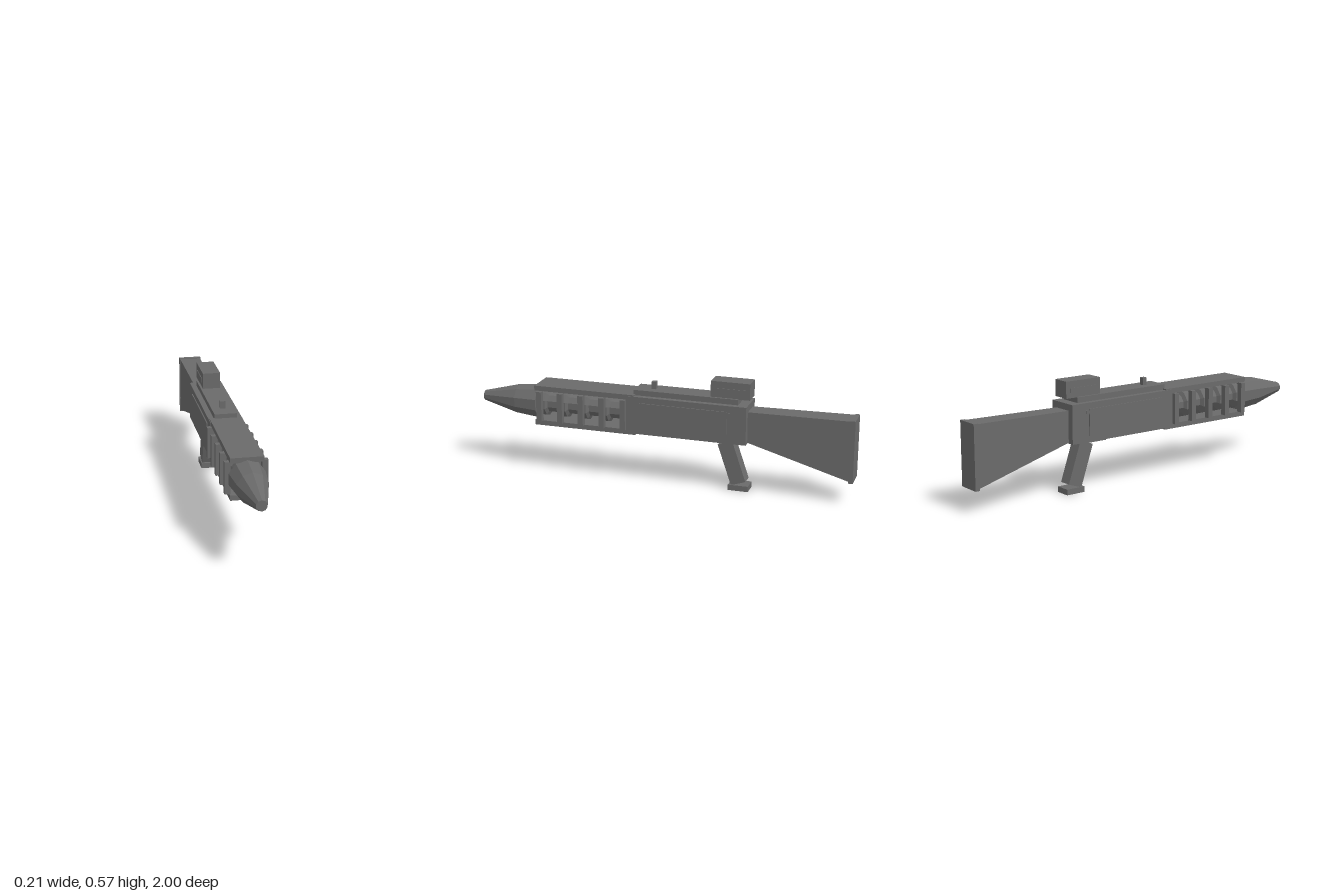
import * as THREE from 'three';

export function createModel() {
  const model = new THREE.Group();
  model.name = 'toyBlaster';
  const grey = new THREE.MeshStandardMaterial({ color: 0x6a6a6a, flatShading: true });
  grey.name = 'gunmetal grey';

  const add = (name, geometry) => {
    const mesh = new THREE.Mesh(geometry, grey);
    mesh.name = name;
    model.add(mesh);
    return mesh;
  };
  // Box given by its extents on each axis
  const box = (name, x0, x1, y0, y1, z0, z1) => {
    const g = new THREE.BoxGeometry(x1 - x0, y1 - y0, z1 - z0);
    g.translate((x0 + x1) / 2, (y0 + y1) / 2, (z0 + z1) / 2);
    return add(name, g);
  };
  // Ten-sided turned part along z, profile as [radius, z]
  const axisY = 0.364;
  const turned = (name, profile) => {
    const g = new THREE.LatheGeometry(profile.map(([r, z]) => new THREE.Vector2(r, z)), 10);
    g.rotateX(Math.PI / 2).translate(0, axisY, 0);
    return add(name, g);
  };

  // Nose cone and inner barrel
  turned('noseCone', [[0, 0.675], [0.092, 0.675], [0.079, 0.8], [0.027, 1], [0, 1]]);
  turned('barrel', [[0, 0.15], [0.054, 0.15], [0.054, 0.69], [0, 0.69]]);

  // Barrel collars and the cage posts beside them
  for (let i = 0; i < 5; i++) {
    const z = 0.186 + i * 0.1155;
    turned('barrelCollar', [[0.05, z - 0.03], [0.074, z - 0.018], [0.074, z + 0.018], [0.05, z + 0.03]]);
    for (const s of [-1, 1]) {
      const post = box('cagePost', -0.0145, 0.0145, 0.283, 0.443, z - 0.014, z + 0.014);
      post.position.x = s * 0.0895;
    }
  }

  // Cage rails
  box('upperCageRail', -0.081, 0.081, 0.443, 0.469, 0.13, 0.68);
  box('lowerCageRail', -0.081, 0.081, 0.257, 0.283, 0.125, 0.68);

  // Receiver with side panels
  box('receiver', -0.085, 0.085, 0.265, 0.463, -0.46, 0.176);
  for (const s of [-1, 1]) {
    const panel = box('sidePanel', -0.003, 0.003, 0.296, 0.432, -0.36, 0.1);
    panel.position.x = s * 0.087;
    const latch = box('panelLatch', -0.003, 0.003, 0.41, 0.425, -0.378, -0.36);
    latch.position.x = s * 0.086;
  }

  // Top rail, front sight and scope
  box('topRail', -0.057, 0.057, 0.46, 0.491, -0.41, 0.14);
  box('frontSight', -0.013, 0.013, 0.49, 0.529, 0.035, 0.058);
  box('scope', -0.046, 0.046, 0.489, 0.574, -0.468, -0.265);
  for (const s of [-1, 1]) {
    const strip = box('scopeStrip', -0.002, 0.002, 0.517, 0.539, -0.445, -0.29);
    strip.position.x = s * 0.047;
  }

  // Stock flares towards the butt
  const stock = new THREE.BoxGeometry(1, 1, 1);
  const p = stock.attributes.position;
  for (let i = 0; i < p.count; i++) {
    const rear = p.getZ(i) < 0;
    const top = p.getY(i) > 0;
    const halfWidth = rear ? 0.058 : 0.051;
    p.setXYZ(i, Math.sign(p.getX(i)) * halfWidth,
      top ? (rear ? 0.437 : 0.43) : (rear ? 0.125 : 0.271),
      rear ? -0.98 : -0.455);
  }
  stock.computeVertexNormals();
  add('stock', stock);
  box('buttPlate', -0.061, 0.061, 0.117, 0.44, -1, -0.977);

  // Slanted grip with foot, and trigger guard
  const grip = add('grip', new THREE.BoxGeometry(0.068, 0.224, 0.08));
  grip.position.set(0, 0.144, -0.376);
  grip.rotation.x = 0.33;
  box('gripFoot', -0.04, 0.04, 0, 0.029, -0.465, -0.36);
  box('guardFront', -0.007, 0.007, 0.238, 0.267, -0.208, -0.2);
  box('guardBar', -0.007, 0.007, 0.238, 0.246, -0.34, -0.2);

  return model;
}
